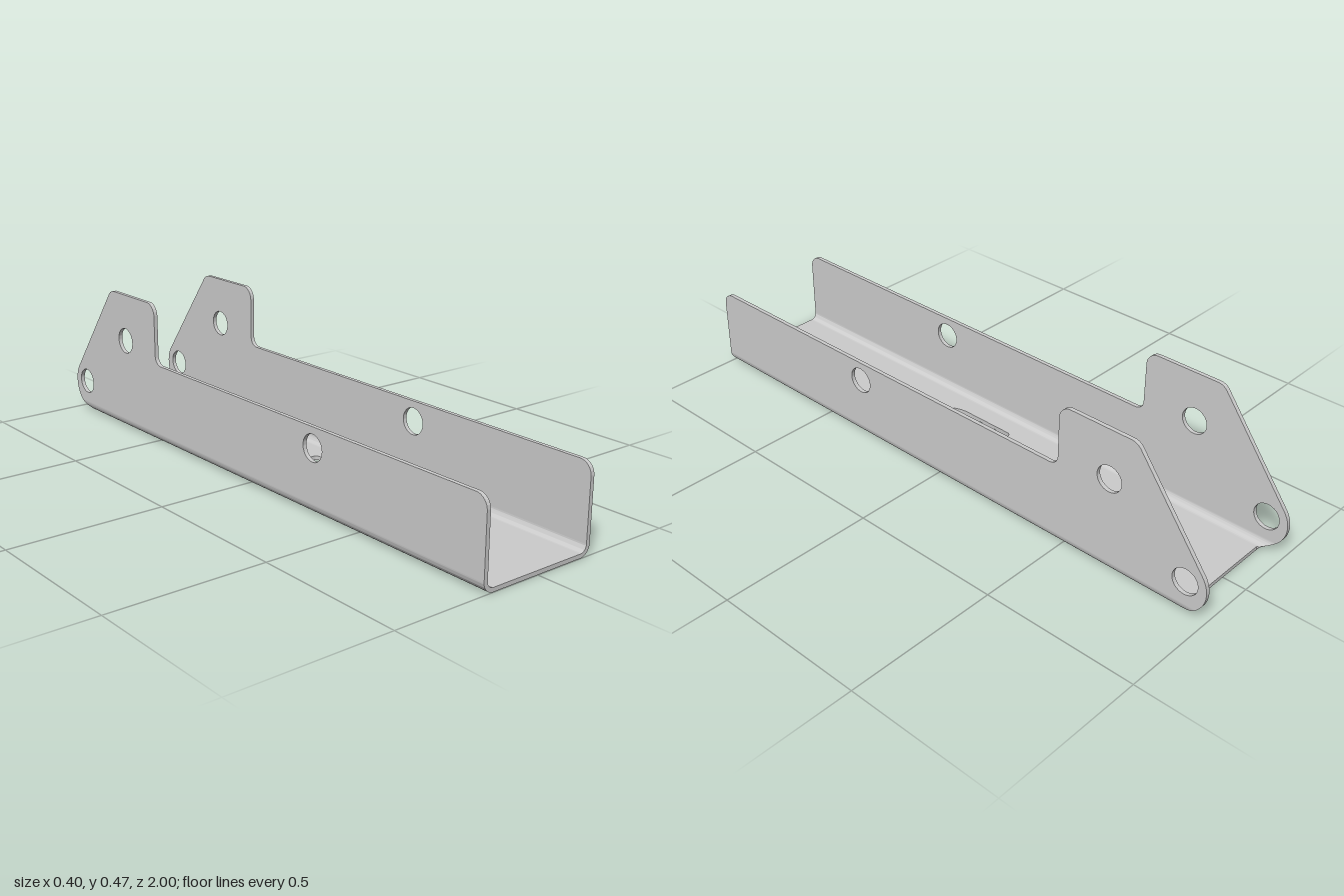
import * as THREE from 'three';
import { toCreasedNormals } from 'three/addons/utils/BufferGeometryUtils.js';

const T = 0.013;            // sheet thickness
const HALF = 0.2;           // half of the outer width
const R = 0.035;            // outer bend radius
const LIP = { z: -0.91, y: 0.1, r: 0.09 };  // rounded rear end of the walls
const FLOOR_END = -0.925;

const material = new THREE.MeshStandardMaterial({ color: 0xcccccc });

function makeMesh(name, geometry) {
  const mesh = new THREE.Mesh(toCreasedNormals(geometry, 0.5), material);
  mesh.name = name;
  return mesh;
}

const extrude = (shape, depth) =>
  new THREE.ExtrudeGeometry(shape, { depth, bevelEnabled: false, curveSegments: 20 });

function circle(x, y, r) {
  const p = new THREE.Path();
  p.absarc(x, y, r, 0, Math.PI * 2, true);
  return p;
}

// z of the rear cut at height y
function rearEdge(y) {
  const d = LIP.y - y;
  return Math.min(FLOOR_END, LIP.z - Math.sqrt(Math.max(0, LIP.r ** 2 - d * d)));
}

// Side wall outline drawn in (z, y)
function wallGeometry() {
  const PI = Math.PI, slope = Math.atan2(0.6, -0.8);
  const low = 0.267, high = 0.467, r = 0.04, step = -0.483;
  const s = new THREE.Shape();
  s.moveTo(1, R);
  s.lineTo(1, low - r);
  s.absarc(1 - r, low - r, r, 0, PI / 2, false);
  s.absarc(step + 0.03, low + 0.03, 0.03, -PI / 2, -PI, true);
  s.absarc(step - r, high - r, r, 0, PI / 2, false);
  s.absarc(-0.727, high - r, r, PI / 2, slope, false);
  s.absarc(LIP.z, LIP.y, LIP.r, slope, PI + Math.asin((LIP.y - R) / LIP.r), false);
  s.closePath();
  for (const [z, y] of [[0.323, 0.203], [-0.663, 0.31], [-0.93, 0.109]]) {
    s.holes.push(circle(z, y, 0.042));
  }
  return extrude(s, T).rotateY(-Math.PI / 2);
}

// Quarter-round bend along the channel, trimmed at the rear by the lip curve
function bendGeometry(side) {
  const a = side > 0 ? -Math.PI / 2 : -Math.PI;
  const b = a + Math.PI / 2;
  const s = new THREE.Shape();
  s.absarc(side * (HALF - R), R, R, a, b, false);
  s.absarc(side * (HALF - R), R, R - T, b, a, true);
  s.closePath();
  const g = extrude(s, 1);
  const p = g.attributes.position;
  for (let i = 0; i < p.count; i++) {
    p.setZ(i, p.getZ(i) > 0.5 ? 1 : rearEdge(p.getY(i)));
  }
  g.computeVertexNormals();
  return g;
}

// Floor drawn in (x, z) with a round hole and a D-shaped opening
function floorGeometry() {
  const w = HALF - R;
  const s = new THREE.Shape();
  s.moveTo(-w, FLOOR_END);
  s.lineTo(w, FLOOR_END);
  s.lineTo(w, 1);
  s.lineTo(-w, 1);
  s.closePath();
  s.holes.push(circle(0, -0.257, 0.082));

  const h = 0.108, top = -0.033, c = 0.012;
  const d = new THREE.Path();
  d.absarc(0, 0.155, h, 0, Math.PI, false);
  d.absarc(-h + c, top + c, c, Math.PI, Math.PI * 1.5, false);
  d.absarc(h - c, top + c, c, Math.PI * 1.5, Math.PI * 2, false);
  d.closePath();
  s.holes.push(d);
  return extrude(s, T).rotateX(Math.PI / 2).translate(0, T, 0);
}

export function createModel() {
  const group = new THREE.Group();
  group.name = 'channelBracket';

  group.add(makeMesh('floor', floorGeometry()));
  for (const side of [1, -1]) {
    const label = side > 0 ? 'left' : 'right';
    const wall = makeMesh(label + 'Wall', wallGeometry());
    wall.position.x = side > 0 ? HALF : -HALF + T;
    group.add(wall, makeMesh(label + 'Bend', bendGeometry(side)));
  }

  // Three shallow bars on the underside near the front
  for (let i = 0; i < 3; i++) {
    const bar = makeMesh('undersideBar', new THREE.BoxGeometry(0.23, 0.002, 0.045));
    bar.position.set(-0.02, 0.0002, 0.87 - i * 0.09);
    group.add(bar);
  }
  return group;
}
